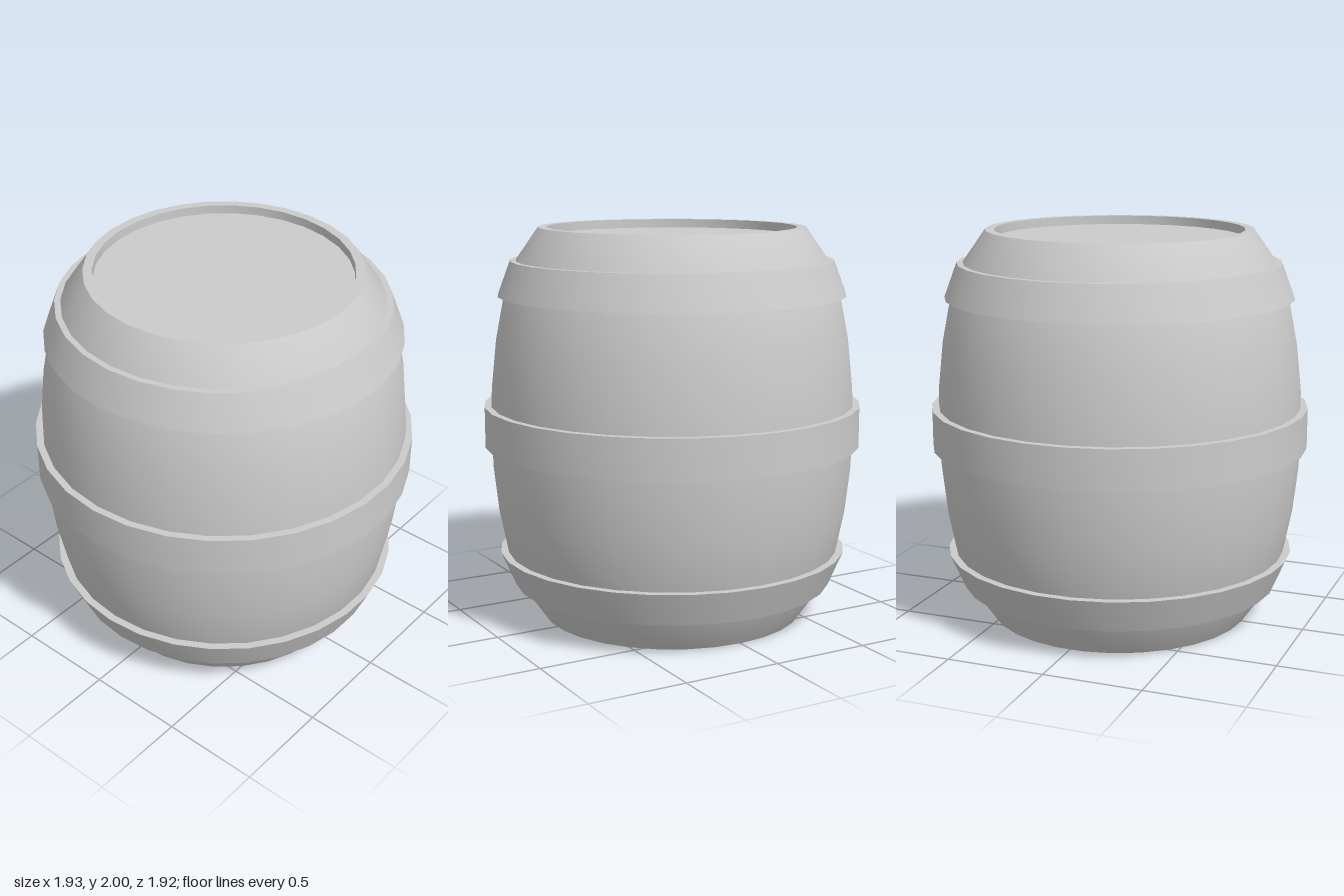
import * as THREE from 'three';
import { toCreasedNormals } from 'three/addons/utils/BufferGeometryUtils.js';

const SIDES = 30;
const material = new THREE.MeshStandardMaterial({ color: 0xcccccc });

// Revolve a [radius, height] profile, listed upwards along its outer side
function turned(name, profile) {
  const points = profile.map(([r, y]) => new THREE.Vector2(r, y));
  const lathe = new THREE.LatheGeometry(points, SIDES, Math.PI / 2);
  const mesh = new THREE.Mesh(toCreasedNormals(lathe, Math.PI / 6), material);
  mesh.name = name;
  return mesh;
}

// Closed band whose inner side is sunk slightly into the staves
function hoop(name, y0, r0, y1, r1, depth) {
  return turned(name, [[r0 - depth, y0], [r0, y0], [r1, y1], [r1 - depth, y1], [r0 - depth, y0]]);
}

export function createModel() {
  const barrel = new THREE.Group();
  barrel.name = 'barrel';

  // Upper half of the bulging wall, rim and recessed lid; mirrored for the lower half
  const upper = [
    [0.93, 1], [0.925, 1.2], [0.9, 1.43], [0.855, 1.66], [0.79, 1.835],
    [0.675, 2], [0.63, 2], [0.63, 1.955], [0, 1.955],
  ];
  const lower = upper.slice(1).reverse().map(([r, y]) => [r, 2 - y]);
  barrel.add(turned('body', [...lower, ...upper]));

  // Three hoops: flared at the ends, straight around the belly
  barrel.add(
    hoop('lowerHoop', 0.17, 0.82, 0.345, 0.895, 0.06),
    hoop('middleHoop', 0.9, 0.963, 1.105, 0.963, 0.06),
    hoop('upperHoop', 1.66, 0.885, 1.835, 0.82, 0.06),
  );
  return barrel;
}
